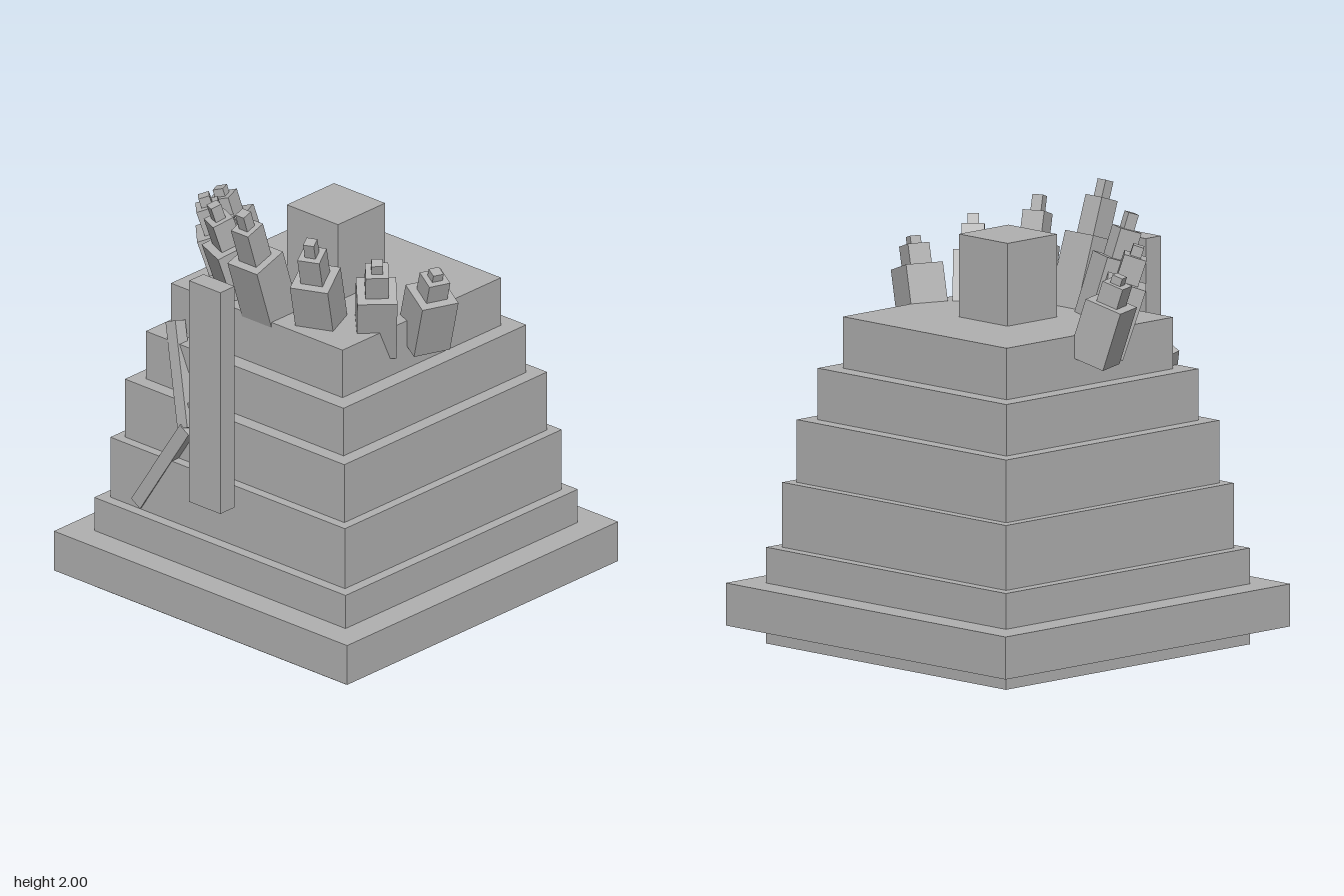
import * as THREE from 'three';

export function createModel() {
  const model = new THREE.Group();
  model.name = 'steppedMonument';
  const stone = new THREE.MeshStandardMaterial({ color: 0xb0b0b0 });
  stone.name = 'grey stone';

  const box = (name, parent, w, h, d, x, y, z) => {
    const mesh = new THREE.Mesh(new THREE.BoxGeometry(w, h, d), stone);
    mesh.name = name;
    mesh.position.set(x, y, z);
    parent.add(mesh);
    return mesh;
  };

  // Square tiers from the ground up: half width, bottom, top
  const tiers = [
    [0.75, 0, 0.08], [0.875, 0.08, 0.27], [0.75, 0.27, 0.43], [0.7, 0.43, 0.72],
    [0.655, 0.72, 1.0], [0.59, 1.0, 1.23], [0.512, 1.23, 1.46],
  ];
  tiers.forEach(([r, y0, y1], i) =>
    box(`tier${i + 1}`, model, r * 2, y1 - y0, r * 2, 0, (y0 + y1) / 2, 0));

  // Block on the roof and the upright slab in front
  box('roofBlock', model, 0.305, 0.38, 0.305, 0, 1.64, 0);
  box('frontSlab', model, 0.186, 1.07, 0.092, 0, 1.185, 0.802);

  // Three-stage spires leaning outwards, each placed by the centre of its tip
  const tilt = THREE.MathUtils.degToRad(18);
  const bottom = 1.34;
  function spire(name, x, z, yawDegrees, tipY, midY, mainY) {
    const group = new THREE.Group();
    group.name = name;
    group.position.set(x, tipY, z);
    group.rotation.set(tilt, THREE.MathUtils.degToRad(yawDegrees), 0, 'YXZ');
    const stage = (part, width, top, low) => {
      const a = (top - tipY) / Math.cos(tilt), b = (low - tipY) / Math.cos(tilt);
      box(part, group, width, a - b, width, 0, (a + b) / 2, 0);
    };
    stage('spireTip', 0.05, tipY, midY);
    stage('spireMiddle', 0.102, midY, mainY);
    stage('spireShaft', 0.176, mainY, bottom);
    model.add(group);
  }
  spire('centreSpire', 0, 0.6, 0, 1.99, 1.915, 1.75);
  for (const [side, s] of [['left', 1], ['right', -1]]) {
    spire(side + 'InnerSpire', s * 0.288, 0.478, s * 23, 1.9, 1.83, 1.7);
    spire(side + 'MiddleSpire', s * 0.518, 0.295, s * 45, 1.81, 1.765, 1.65);
    spire(side + 'OuterSpire', s * 0.646, 0.052, s * 69, 1.725, 1.69, 1.6);
  }

  // Bent arm lying against the front steps
  function beam(name, from, to, w, d) {
    const a = new THREE.Vector3(...from), b = new THREE.Vector3(...to);
    const mid = a.clone().add(b).multiplyScalar(0.5);
    const mesh = box(name, model, w, a.distanceTo(b), d, mid.x, mid.y, mid.z);
    const up = b.sub(a).normalize();
    const across = new THREE.Vector3().crossVectors(up, new THREE.Vector3(0, 0, 1)).normalize();
    const out = new THREE.Vector3().crossVectors(across, up);
    mesh.quaternion.setFromRotationMatrix(new THREE.Matrix4().makeBasis(across, up, out));
  }
  beam('lowerArm', [-0.542, 0.451, 0.676], [-0.258, 0.895, 0.67], 0.062, 0.065);
  beam('upperArm', [-0.268, 0.89, 0.67], [-0.458, 1.305, 0.542], 0.064, 0.06);

  return model;
}
